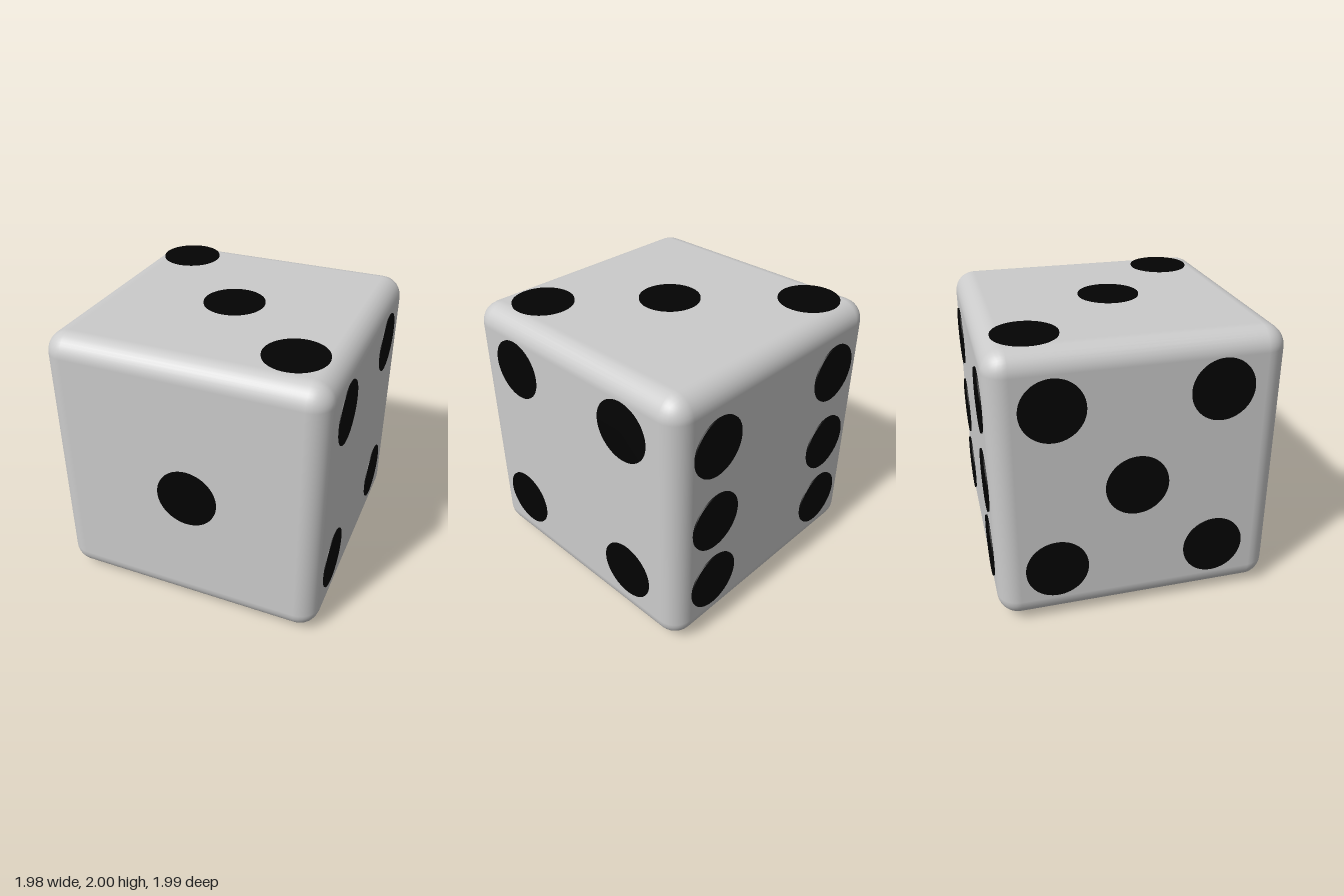
import * as THREE from 'three';
import { RoundedBoxGeometry } from 'three/addons/geometries/RoundedBoxGeometry.js';

export function createModel() {
  const die = new THREE.Group();
  die.name = 'die';

  // Rounded cube body
  const body = new THREE.Mesh(
    new RoundedBoxGeometry(1.96, 1.957, 1.96, 4, 0.15),
    new THREE.MeshStandardMaterial({ color: 0xcccccc })
  );
  body.name = 'body';
  body.position.set(0.003, 1.008, -0.005);
  die.add(body);

  // Thin round spots, one list of centres per face
  const spotMaterial = new THREE.MeshStandardMaterial({ color: 0x030303 });
  const spotGeometry = new THREE.CylinderGeometry(0.215, 0.215, 0.01, 64);

  // axis: face normal; offset: position along it; spots: the two other coordinates in x, y, z order
  const faces = [
    { name: 'frontSpot', axis: 'z', offset: 0.99, spots: [[0.055, 0.98]] },
    { name: 'bottomSpot', axis: 'y', offset: 0.005, spots: [[0.63, 0.595], [-0.6, -0.56]] },
    { name: 'topSpot', axis: 'y', offset: 1.995, spots: [[-0.66, -0.68], [0, 0.025], [0.65, 0.61]] },
    { name: 'leftSpot', axis: 'x', offset: 0.983, spots: [[1.62, 0.53], [1.62, -0.52], [0.447, 0.59], [0.447, -0.52]] },
    { name: 'rightSpot', axis: 'x', offset: -0.983, spots: [[1.6, -0.58], [1.62, 0.53], [0.995, -0.03], [0.42, -0.58], [0.42, 0.53]] },
    { name: 'backSpot', axis: 'z', offset: -0.99, spots: [0.615, -0.595].flatMap(x => [1.55, 0.955, 0.42].map(y => [x, y])) },
  ];

  for (const { name, axis, offset, spots } of faces) {
    spots.forEach(([a, b], i) => {
      const spot = new THREE.Mesh(spotGeometry, spotMaterial);
      spot.name = name + (i + 1);
      if (axis === 'x') {
        spot.position.set(offset, a, b);
        spot.rotation.z = Math.PI / 2;
      } else if (axis === 'y') {
        spot.position.set(a, offset, b);
      } else {
        spot.position.set(a, b, offset);
        spot.rotation.x = Math.PI / 2;
      }
      die.add(spot);
    });
  }
  return die;
}
